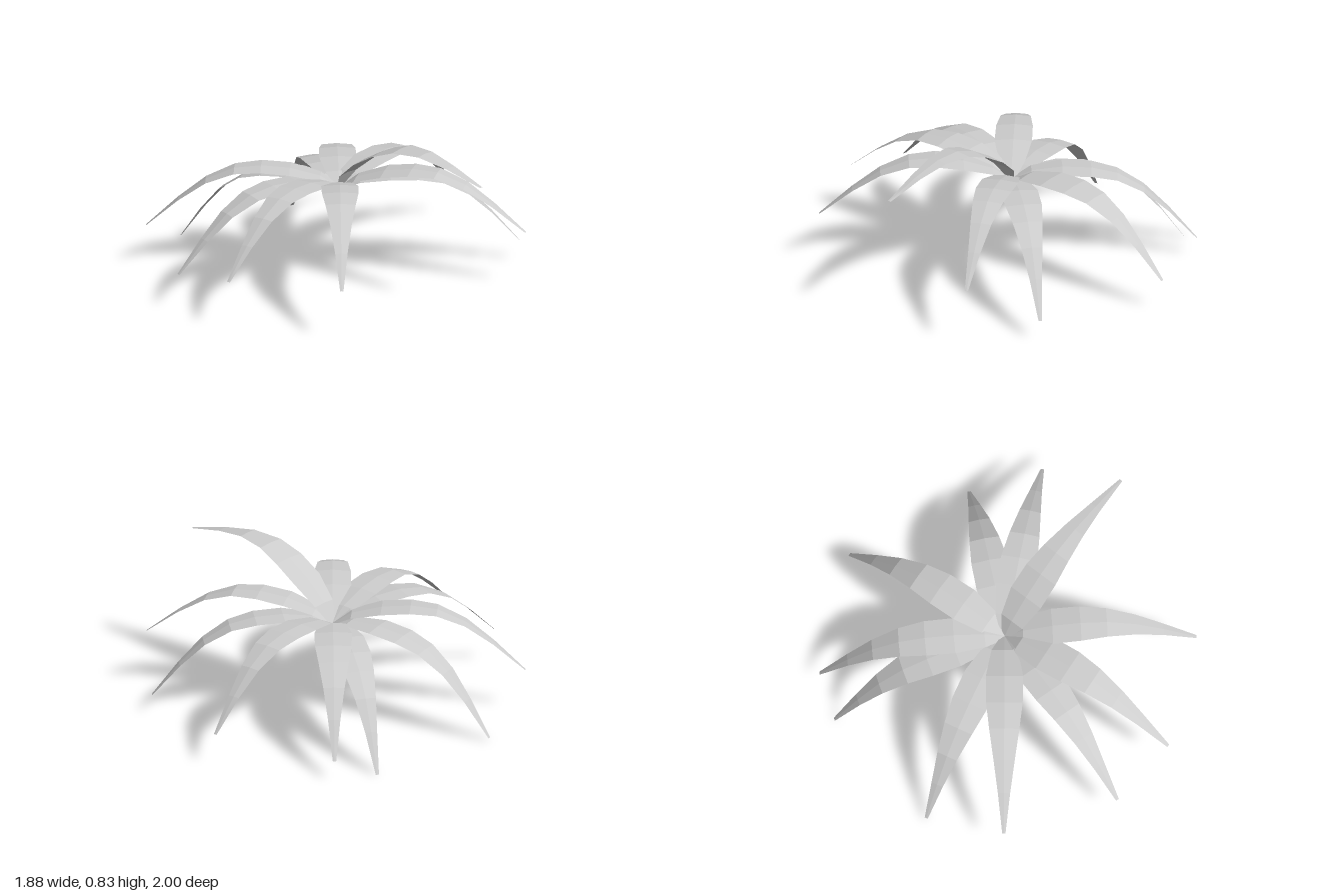
import * as THREE from 'three';

// Rows along a leaf of unit chord: distance, arch height, half width
const ROWS = [
  [0, 0, 0.02], [0.08, 0.08, 0.07], [0.22, 0.152, 0.1], [0.36, 0.195, 0.098],
  [0.495, 0.21, 0.081], [0.65, 0.18, 0.057], [0.81, 0.108, 0.033], [1, 0, 0.009],
];
const BASE = new THREE.Vector3(-0.05, 0.48, -0.02);

// Leaf tips, going round the plant
const TIPS = [
  [-0.29, 0.18, -1.0], [0.44, 0.12, -0.86], [0.77, 0.32, -0.64], [0.94, 0.74, -0.2],
  [0.76, 0.29, 0.61], [0.24, 0.27, 0.97], [-0.15, 0.2, 1.0], [-0.74, 0.24, 0.75],
  [-0.94, 0.02, 0.35], [-0.93, 0.005, -0.4], [-0.84, 0.11, -0.62],
];

// Arched leaf with a slight ridge, three points across each row
function leafGeometry(tip) {
  const along = new THREE.Vector3(...tip).sub(BASE);
  const chord = along.length();
  along.normalize();
  const side = new THREE.Vector3().crossVectors(along, new THREE.Vector3(0, 1, 0)).normalize();
  const up = new THREE.Vector3().crossVectors(side, along);
  const points = [], index = [];
  ROWS.forEach(([u, v, w], i) => {
    for (const s of [-1, 0, 1]) {
      const p = BASE.clone()
        .addScaledVector(along, u * chord)
        .addScaledVector(up, v * chord - Math.abs(s) * w * 0.08)
        .addScaledVector(side, s * w);
      points.push(p.x, p.y, p.z);
    }
    if (i === 0) return;
    for (const k of [0, 1]) {
      const a = (i - 1) * 3 + k, b = a + 3;
      index.push(a, a + 1, b, a + 1, b + 1, b);
    }
  });
  const g = new THREE.BufferGeometry();
  g.setAttribute('position', new THREE.Float32BufferAttribute(points, 3));
  g.setIndex(index);
  const flat = g.toNonIndexed();
  flat.computeVertexNormals();
  return flat;
}

export function createModel() {
  const plant = new THREE.Group();
  plant.name = 'plant';
  const leafGrey = new THREE.MeshStandardMaterial({
    color: 0xcccccc, flatShading: true, side: THREE.DoubleSide,
  });
  leafGrey.name = 'leaf grey';
  TIPS.forEach((tip, i) => {
    const leaf = new THREE.Mesh(leafGeometry(tip), leafGrey);
    leaf.name = `leaf${i + 1}`;
    plant.add(leaf);
  });
  return plant;
}
